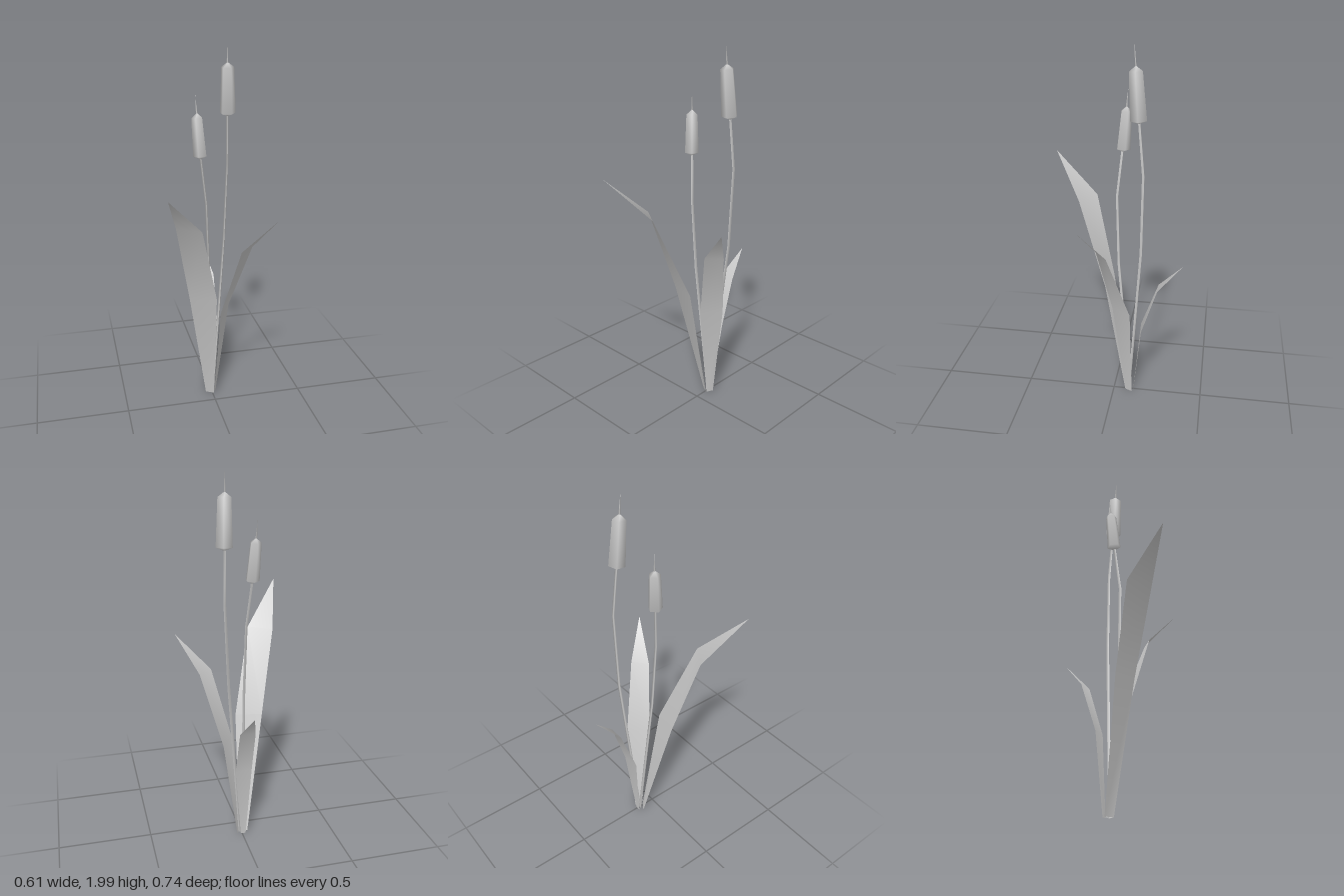
import * as THREE from 'three';

const grey = new THREE.MeshStandardMaterial({ color: 0xcccccc, side: THREE.DoubleSide });
const UP = new THREE.Vector3(0, 1, 0);

function addMesh(parent, name, geometry) {
  const mesh = new THREE.Mesh(geometry, grey);
  mesh.name = name;
  parent.add(mesh);
  return mesh;
}

// Leaf blade: rows of [y, leftX, leftZ, rightX, rightZ] closed by a pointed tip
function leafGeometry(rows, tip) {
  const pos = [], index = [];
  rows.forEach(([y, lx, lz, rx, rz], i) => {
    pos.push(lx, y, lz, rx, y, rz);
    const a = i * 2;
    if (i < rows.length - 1) index.push(a, a + 1, a + 3, a, a + 3, a + 2);
    else index.push(a, a + 1, a + 2);
  });
  pos.push(...tip);
  const geo = new THREE.BufferGeometry();
  geo.setAttribute('position', new THREE.Float32BufferAttribute(pos, 3));
  geo.setIndex(index);
  geo.computeVertexNormals();
  return geo;
}

// Stem: three-sided rod whose rings are moved onto the path points
function stemGeometry(path, radius) {
  const last = path.length - 1;
  const geo = new THREE.CylinderGeometry(radius * 0.8, radius, last, 3, last, true);
  const p = geo.attributes.position;
  for (let i = 0; i < p.count; i++) {
    const [x, y, z] = path[Math.round(p.getY(i) + last / 2)];
    p.setXYZ(i, p.getX(i) + x, y, p.getZ(i) + z);
  }
  geo.computeVertexNormals();
  return geo;
}

// Flower head: five-sided tapered lathe with a thin spike, tilted along its axis
function addHead(parent, base, tip, length, radius, turn) {
  const from = new THREE.Vector3(...base);
  const axis = new THREE.Vector3(...tip).sub(from);
  const total = axis.length();
  const head = new THREE.Group();
  head.name = 'flowerHead';
  head.position.copy(from);
  head.quaternion.setFromUnitVectors(UP, axis.normalize());
  const profile = [[0, -0.005], [radius, 0.012], [radius * 0.8, length - 0.025], [0, length]]
    .map(([r, y]) => new THREE.Vector2(r, y));
  addMesh(head, 'seedHead', new THREE.LatheGeometry(profile, 5, turn));
  const spike = total - length + 0.02;
  addMesh(head, 'spike', new THREE.ConeGeometry(0.006, spike, 3)).position.y = total - spike / 2;
  parent.add(head);
}

export function createModel() {
  const plant = new THREE.Group();
  plant.name = 'reedPlant';

  // Three bent leaves
  addMesh(plant, 'tallLeaf', leafGeometry([
    [0, -0.035, -0.093, 0.008, -0.067],
    [0.66, -0.145, 0.02, -0.003, 0.05],
    [1.11, -0.232, 0.13, -0.114, 0.21],
  ], [-0.307, 1.33, 0.37]));
  addMesh(plant, 'middleLeaf', leafGeometry([
    [0, 0.01, -0.07, 0.027, -0.107],
    [0.55, 0.03, 0.005, 0.1, -0.1],
    [0.93, 0.125, 0.077, 0.2, 0.012],
  ], [0.304, 1.12, 0.15]));
  addMesh(plant, 'shortLeaf', leafGeometry([
    [0, 0.008, -0.113, -0.02, -0.113],
    [0.42, 0.048, -0.157, -0.043, -0.147],
    [0.68, 0.046, -0.24, -0.037, -0.24],
  ], [0.005, 0.82, -0.37]));

  // Two stems, each carrying a head
  const tallPath = [[0.008, 0, -0.09], [0.085, 0.92, -0.155], [0.104, 1.35, -0.162], [0.096, 1.63, -0.136]];
  addMesh(plant, 'tallStem', stemGeometry(tallPath, 0.009));
  addHead(plant, [0.097, 1.615, -0.135], [0.087, 1.985, -0.108], 0.27, 0.043, Math.PI / 2);

  const shortPath = [[-0.005, 0, -0.095], [-0.03, 0.8, -0.022], [-0.045, 1.18, -0.01], [-0.069, 1.43, -0.034]];
  addMesh(plant, 'shortStem', stemGeometry(shortPath, 0.009));
  addHead(plant, [-0.069, 1.42, -0.034], [-0.089, 1.74, -0.057], 0.23, 0.037, Math.PI + 0.15);

  return plant;
}
